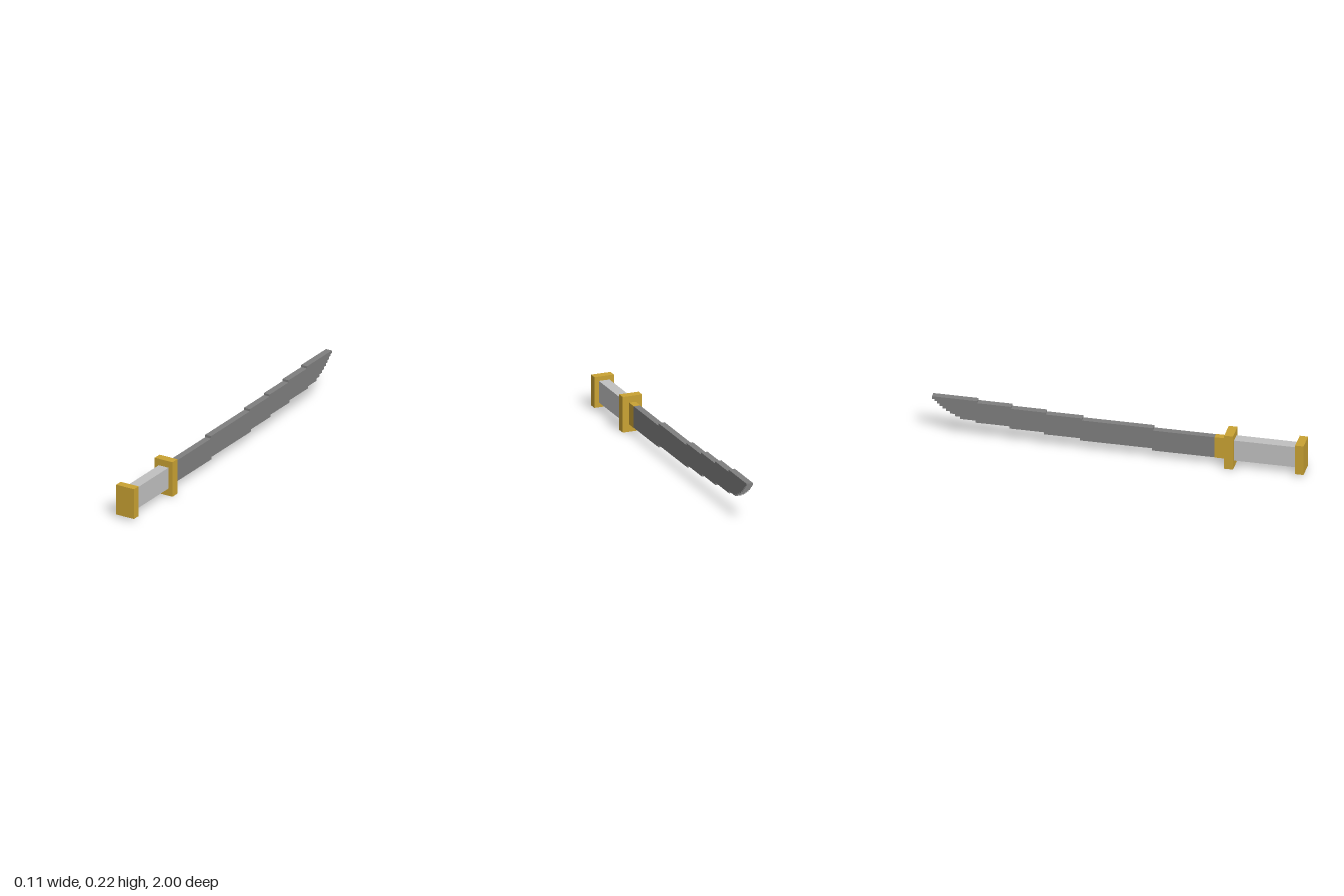
import * as THREE from 'three';

export function createModel() {
  const model = new THREE.Group();
  const brass = new THREE.MeshStandardMaterial({ name: 'brass', color: 0xc9a233 });
  const steel = new THREE.MeshStandardMaterial({ name: 'steel', color: 0x7f7f7f });
  const silver = new THREE.MeshStandardMaterial({ name: 'silver', color: 0xc0c0c0 });

  // Box spanning y0..y1 and z0..z1, centred on x
  function block(name, material, width, y0, y1, z0, z1) {
    const mesh = new THREE.Mesh(new THREE.BoxGeometry(width, y1 - y0, z1 - z0), material);
    mesh.name = name;
    mesh.position.set(0, (y0 + y1) / 2, (z0 + z1) / 2);
    model.add(mesh);
  }

  // Hilt
  block('pommel', brass, 0.11, 0.014, 0.184, 0.955, 1);
  block('grip', silver, 0.06, 0.041, 0.16, 0.622, 0.955);
  block('guard', brass, 0.11, 0, 0.197, 0.575, 0.622);
  block('collar', brass, 0.037, 0.04, 0.161, 0.515, 0.575);

  // Stepped blade outline: [distance towards the tip where the step ends, height]
  const spine = [[-0.185, 0.16], [0.195, 0.174], [0.39, 0.186], [0.575, 0.197], [0.757, 0.209], [1, 0.221]];
  const edge = [[-0.18, 0.041], [0.205, 0.054], [0.4, 0.067], [0.583, 0.079], [0.766, 0.092],
    [0.85, 0.104], [0.877, 0.117], [0.902, 0.13], [0.923, 0.143], [0.942, 0.156],
    [0.958, 0.169], [0.973, 0.182], [0.987, 0.195], [1, 0.206]];
  const steps = (list) => list.flatMap(([end, y], i) => [
    new THREE.Vector2(i ? list[i - 1][0] : -0.515, y), new THREE.Vector2(end, y)]);
  const outline = new THREE.Shape([...steps(edge), ...steps(spine).reverse()]);
  const geometry = new THREE.ExtrudeGeometry(outline, { depth: 0.036, bevelEnabled: false });
  geometry.translate(0, 0, -0.018).rotateY(Math.PI / 2);
  const blade = new THREE.Mesh(geometry, steel);
  blade.name = 'blade';
  model.add(blade);

  return model;
}
